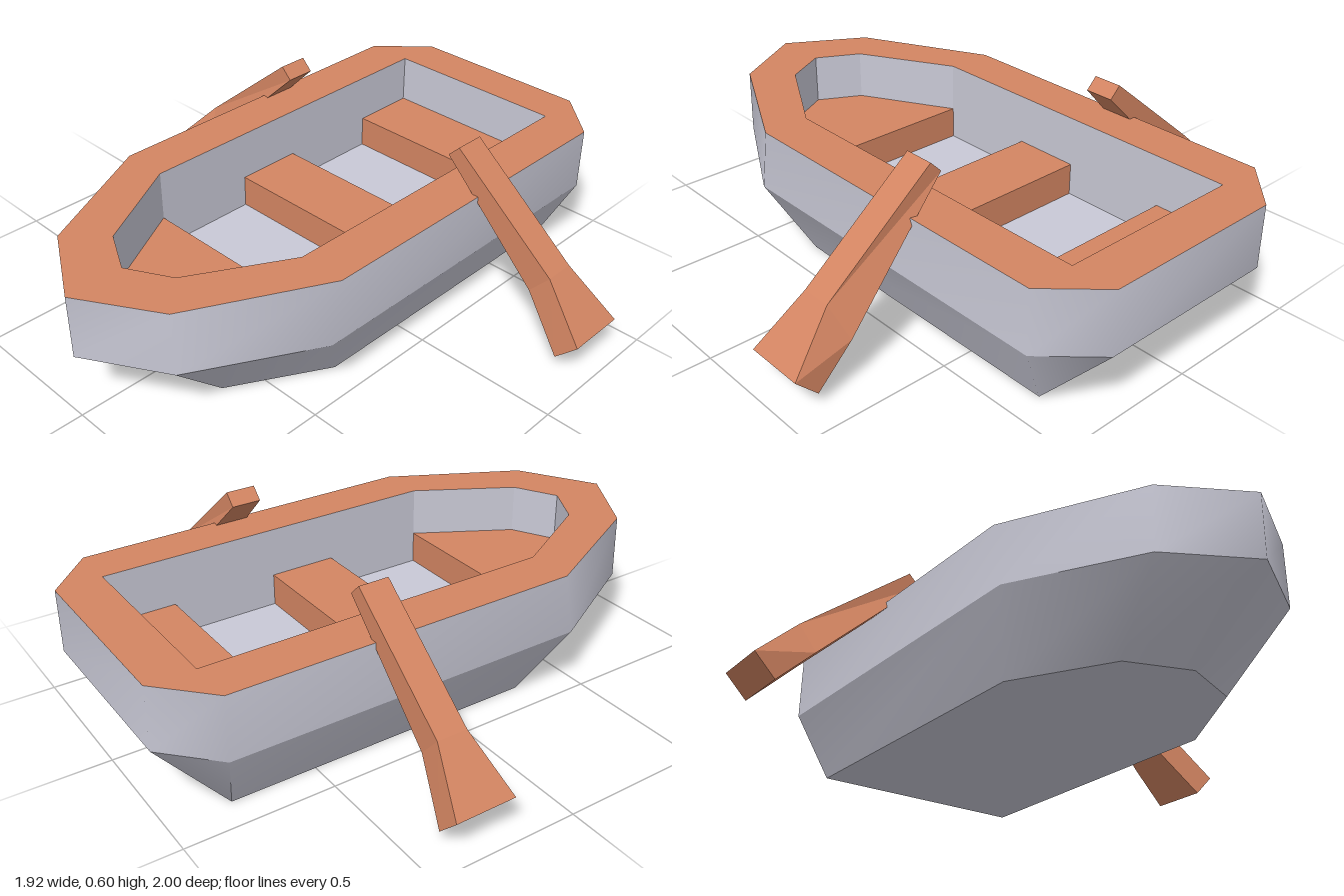
import * as THREE from 'three';

const grey = new THREE.MeshStandardMaterial({ color: 0xc9c9d6 });
grey.name = 'hull grey';
const wood = new THREE.MeshStandardMaterial({ color: 0xd38562 });
wood.name = 'orange wood';

const RIM = 0.45, KNEE = 0.23, FLOOR = 0.16, SEAT = 0.275;

// Half outlines as [x, z], from the bow tip round to the stern.
const rimHalf = [[0, 1], [0.27, 0.84], [0.5, 0.39], [0.5, -0.84], [0.33, -1]];
const kneeHalf = [[0, 1], [0.275, 0.84], [0.5, 0.43], [0.5, -0.84], [0.33, -1]];
const keelHalf = [[0, 0.7], [0.21, 0.62], [0.39, 0.3], [0.39, -0.79], [0.39, -0.79]];
const wellHalf = [[0, 0.8], [0.15, 0.72], [0.335, 0.39], [0.335, -0.84]];
const bowHalf = wellHalf.slice(0, 3);

// Closes a half outline by mirroring it across x = 0.
const mirror = (half) => [...half, ...half.slice(1).reverse().map(([x, z]) => [-x, z])];
const ring = (half, y) => mirror(half).map(([x, z]) => [x, y, z]);
// Shape whose y is -z, ready to be laid flat facing up.
const plan = (half) => new THREE.Shape(mirror(half).map(([x, z]) => new THREE.Vector2(x, -z)));

// Joins closed rings of equal length, with optional end caps.
function loft(rings, { caps = false, flat = false } = {}) {
  const n = rings[0].length, index = [];
  for (let r = 0; r < rings.length - 1; r++) {
    for (let i = 0; i < n; i++) {
      const a = r * n + i, b = r * n + (i + 1) % n;
      index.push(a, b, b + n, a, b + n, a + n);
    }
  }
  if (caps) {
    const e = (rings.length - 1) * n;
    for (let i = 1; i < n - 1; i++) index.push(0, i + 1, i, e, e + i, e + i + 1);
  }
  let g = new THREE.BufferGeometry();
  g.setAttribute('position', new THREE.Float32BufferAttribute(rings.flat(2), 3));
  g.setIndex(index);
  if (flat) g = g.toNonIndexed();
  g.computeVertexNormals();
  return g;
}

export function createModel() {
  const model = new THREE.Group();
  model.name = 'rowingBoat';
  const add = (name, geometry, material) => {
    const mesh = new THREE.Mesh(geometry, material);
    mesh.name = name;
    model.add(mesh);
    return mesh;
  };

  // Hull: smooth upright band over a smooth tapering band, with a flat underside
  add('upperHull', loft([ring(kneeHalf, KNEE), ring(rimHalf, RIM)]), grey);
  add('lowerHull', loft([ring(keelHalf, 0), ring(kneeHalf, KNEE)]), grey);
  const keel = keelHalf.slice(0, 4);
  add('hullBottom', new THREE.ShapeGeometry(plan(keel)).scale(1, -1, 1).rotateX(Math.PI / 2), grey);
  // Restore the winding after the flip
  const bottom = model.children[2].geometry;
  bottom.dispose();
  model.children[2].geometry = new THREE.ShapeGeometry(
    new THREE.Shape(mirror(keel).map(([x, z]) => new THREE.Vector2(x, z)))
  ).rotateX(Math.PI / 2);

  // Well: inner walls and floor
  add('innerWalls', loft([ring(wellHalf, RIM), ring(wellHalf, FLOOR)], { flat: true }), grey);
  add('floor', new THREE.ShapeGeometry(plan(wellHalf)).rotateX(-Math.PI / 2).translate(0, FLOOR, 0), grey);

  // Wooden rim around the well
  const rim = plan(rimHalf);
  rim.holes.push(plan(wellHalf));
  add('rim', new THREE.ShapeGeometry(rim).rotateX(-Math.PI / 2).translate(0, RIM, 0), wood);

  // Benches
  const height = SEAT - FLOOR;
  for (const [name, back, front] of [['sternBench', -0.84, -0.6], ['middleBench', -0.22, 0.02]]) {
    add(name, new THREE.BoxGeometry(0.67, height, front - back), wood)
      .position.set(0, FLOOR + height / 2, (back + front) / 2);
  }
  add('bowSeat', new THREE.ExtrudeGeometry(plan(bowHalf), { depth: height, bevelEnabled: false })
    .rotateX(-Math.PI / 2).translate(0, FLOOR, 0), wood);

  // Oars: slanted handle flaring to a blade; the second is turned half round
  const oarGeometry = loft([
    [[0.41, 0.595, -0.05], [0.41, 0.595, 0.055], [0.37, 0.555, 0.055], [0.37, 0.555, -0.05]],
    [[0.8, 0.28, -0.05], [0.8, 0.28, 0.055], [0.73, 0.2, 0.055], [0.76, 0.17, -0.105]],
    [[0.96, 0.12, -0.105], [0.96, 0.12, 0.105], [0.885, 0.045, 0.105], [0.885, 0.045, -0.105]],
  ], { caps: true, flat: true });
  ['leftOar', 'rightOar'].forEach((name, i) => {
    const oar = add(name, oarGeometry, wood);
    oar.position.z = -0.295;
    oar.rotation.y = i * Math.PI;
  });
  return model;
}
